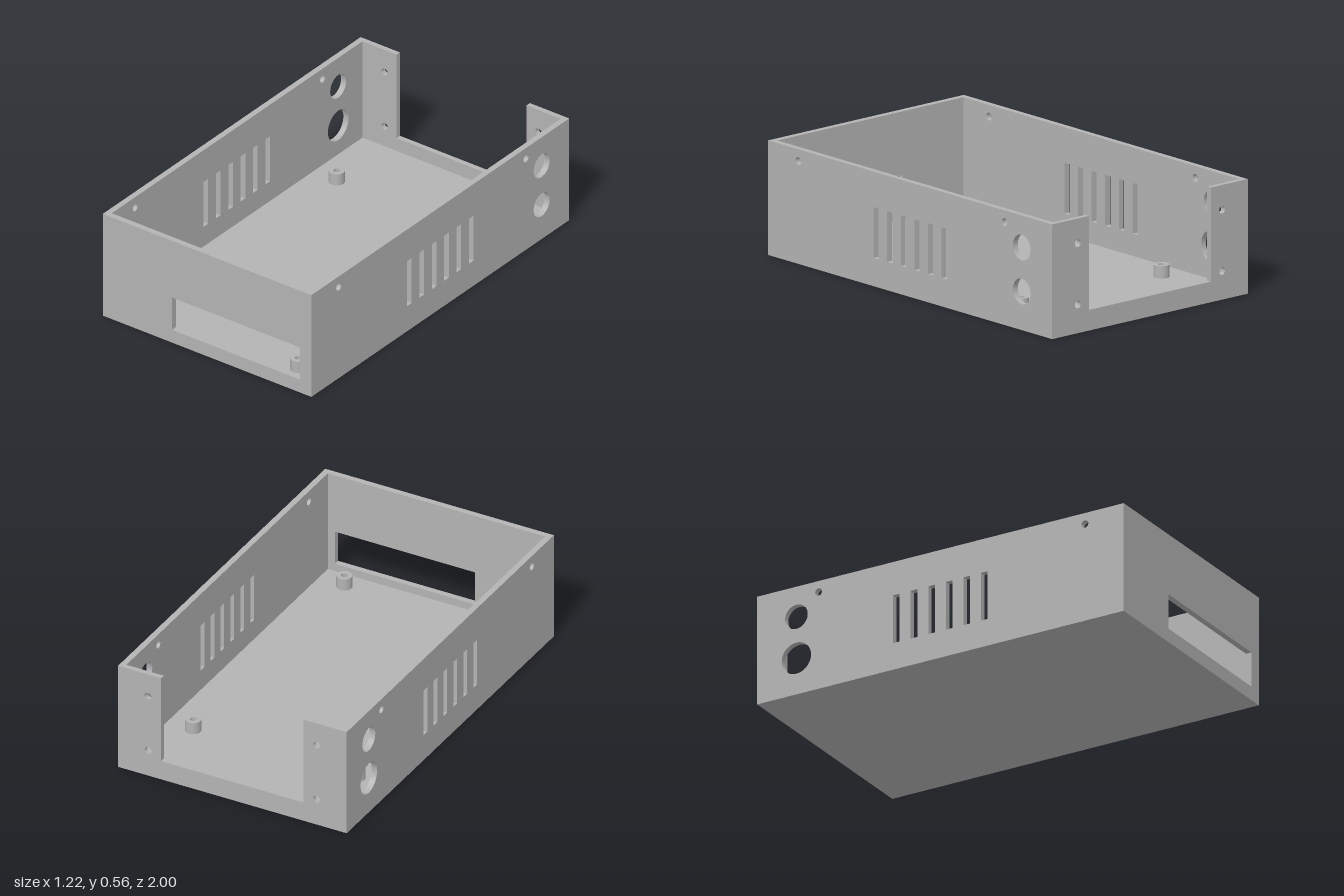
import * as THREE from 'three';

const W = 0.61, H = 0.555, D = 1, T = 0.03, BACK_T = 0.026, FLOOR = 0.03;

const grey = new THREE.MeshStandardMaterial({ color: 0xb3b3b3 });
grey.name = 'enclosure grey';

// Closed outline from corner pairs
const poly = (Type, pts) => new Type(pts.map(([x, y]) => new THREE.Vector2(x, y)));
const rectPts = (x0, y0, x1, y1) => [[x0, y0], [x1, y0], [x1, y1], [x0, y1]];
const rectHole = (...r) => poly(THREE.Path, rectPts(...r));
const roundHole = (x, y, r) => new THREE.Path().absarc(x, y, r, 0, Math.PI * 2, true);

function panel(name, shape, depth) {
  const geo = new THREE.ExtrudeGeometry(shape, { depth, bevelEnabled: false, curveSegments: 24 });
  const mesh = new THREE.Mesh(geo, grey);
  mesh.name = name;
  return mesh;
}

// Side wall with vents, screw holes and two connector holes, drawn in (z, y)
function sideWall(name, x, lowerRadius) {
  const shape = poly(THREE.Shape, rectPts(-D, 0, D, H));
  for (let i = 0; i < 6; i++) {
    const z = -0.24 + i * 0.096;
    shape.holes.push(rectHole(z - 0.018, 0.137, z + 0.018, 0.383));
  }
  shape.holes.push(
    roundHole(0.788, 0.498, 0.019),
    roundHole(-0.665, 0.498, 0.019),
    roundHole(-0.786, 0.4, 0.062),
    roundHole(-0.786, 0.187, lowerRadius),
  );
  const wall = panel(name, shape, T);
  wall.rotation.y = -Math.PI / 2;
  wall.position.x = x;
  return wall;
}

export function createModel() {
  const model = new THREE.Group();
  model.name = 'enclosure';
  const inner = W - T;

  // Floor
  const floor = new THREE.Mesh(new THREE.BoxGeometry(2 * inner, FLOOR, 2 * D), grey);
  floor.name = 'floor';
  floor.position.y = FLOOR / 2;
  model.add(floor);

  // Side walls; the lower connector hole is larger on the -x side
  model.add(sideWall('leftWall', W, 0.062), sideWall('rightWall', -inner, 0.08));

  // Front wall with display window
  const front = poly(THREE.Shape, rectPts(-inner, FLOOR, inner, H));
  front.holes.push(rectHole(-0.205, 0.07, 0.543, 0.246));
  const frontWall = panel('frontWall', front, T);
  frontWall.position.z = D - T;
  model.add(frontWall);

  // Back wall: low sill between two drilled flanges
  const back = poly(THREE.Shape, [
    [-inner, FLOOR], [inner, FLOOR], [inner, H], [0.38, H],
    [0.38, 0.1], [-0.38, 0.1], [-0.38, H], [-inner, H],
  ]);
  for (const x of [-0.45, 0.45]) {
    for (const y of [0.138, 0.435]) back.holes.push(roundHole(x, y, 0.018));
  }
  const backWall = panel('backWall', back, BACK_T);
  backWall.position.z = -D;
  model.add(backWall);

  // Board standoffs: lathed tubes with a blind bore
  const profile = [[0.016, 0], [0.038, 0], [0.038, 0.06], [0.016, 0.06], [0.016, 0]];
  for (const x of [-0.438, 0.438]) {
    for (const z of [-0.586, 0.873]) {
      const ring = new THREE.Shape().absarc(0, 0, profile[1][0], 0, Math.PI * 2, false);
      ring.holes.push(roundHole(0, 0, profile[0][0]));
      const standoff = panel('standoff', ring, profile[2][1]);
      standoff.rotation.x = -Math.PI / 2;
      standoff.position.set(x, FLOOR, z);
      model.add(standoff);
    }
  }
  return model;
}
